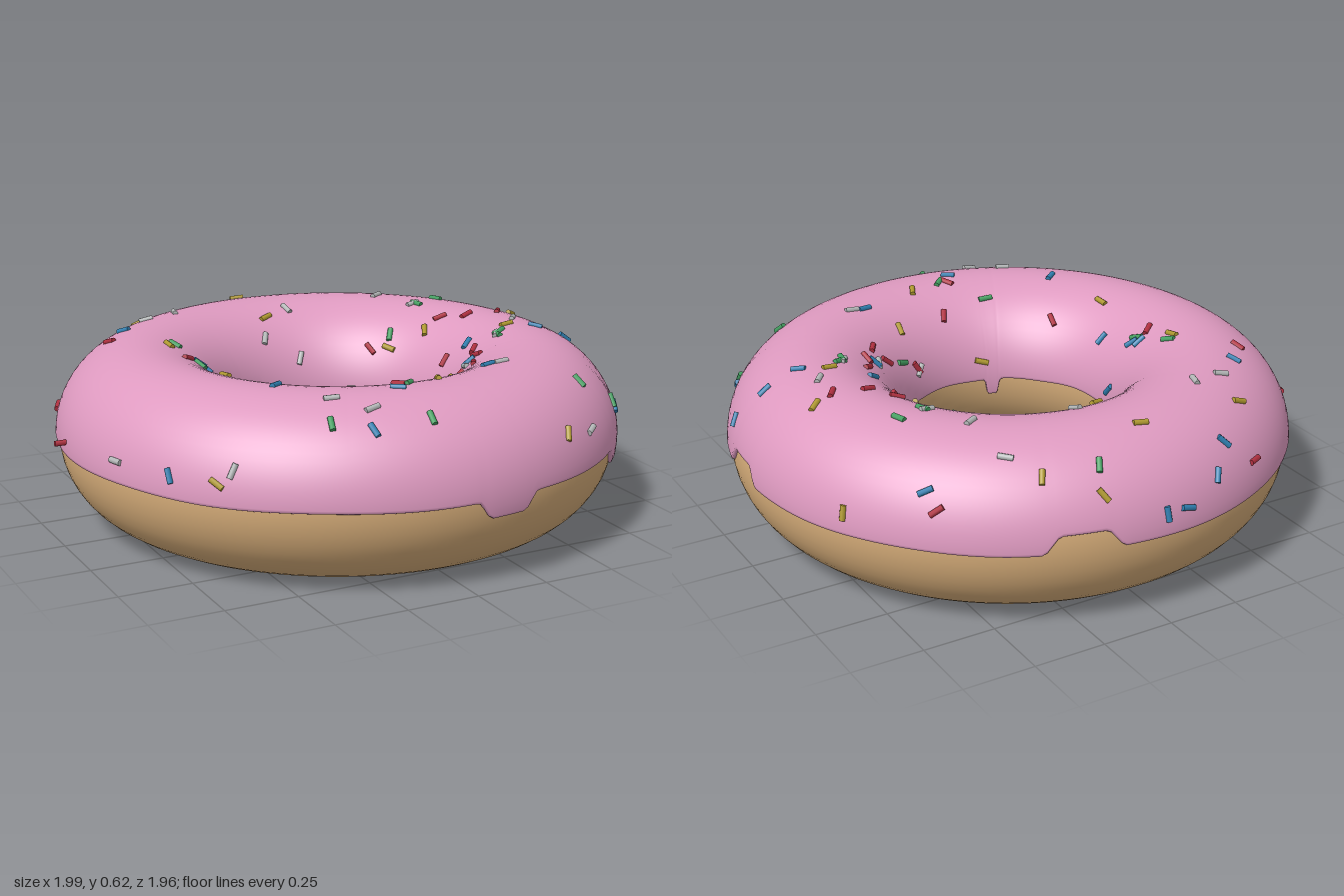
import * as THREE from 'three';

const RING = 0.67, DOUGH_R = 0.295, ICING_R = 0.308, MID_Y = 0.295, OFFSET = 0.01;
const DEG = Math.PI / 180;

// Icing edge features: [azimuth from +z toward +x, half width, height], in degrees and units
const OUTER_EDGE = [[6.5, 6, -0.06], [50, 6.5, -0.06], [85, 6.5, 0.06], [164, 7, 0.06]];
const INNER_EDGE = [[206, 10, 0.07], [65, 4, -0.06], [339, 4, -0.06]];

// Sprinkle positions seen from above, as x, z pairs in hundredths
const SPRINKLES = {
  red: [-41, -85, -88, -39, -68, -38, 66, -68, -51, -8, 60, -10, 53, -17, 72, -8, 30, -28, 43, 4, 34, 29,
    19, 35, 47, 17, 44, 24, 1, 48, -8, 62, -34, 29, 38, 32],
  yellow: [20, -90, 36, -80, -3, -75, -45, -70, -2, -51, 87, -45, 35, -23, 46, -16, 79, -10, 64, 11, -50, 21,
    -8, 35, 21, 44, 7, 61, -73, 65, 40, 87, -53, -20, 39, 4],
  green: [18, -84, -50, -22, 62, -36, 37, -26, 58, 16, 26, 33, -17, 49, -5, 63, -39, 76, -9, 85, 58, 66,
    -47, -7, 52, -33, 56, 18, 78, 57],
  blue: [-22, -91, -29, -84, -8, -97, 0, -96, 67, -63, -59, -48, -35, -8, -45, -7, -42, 8, 73, 16, 85, 17,
    93, 25, 79, 57, 30, 54, -44, 47, -11, 67, -83, 51, -28, 83, -46, -10, 41, 24, 49, 9],
  white: [43, -70, 44, -50, -47, -57, -35, -59, 8, -54, 51, -34, -6, -43, 6, -38, 71, 4, 56, 17, 39, 25,
    35, 54, -34, 66, -68, 67, -25, 76, 53, 81, -94, 30, 18, 35],
};

function material(name, color) {
  const m = new THREE.MeshStandardMaterial({ color });
  m.name = name;
  return m;
}

// Height of the icing edge above the middle of the ring
function edgeHeight(features, degrees) {
  let h = 0.002 * Math.sin(degrees * DEG * 9);
  for (const [at, half, height] of features) {
    const away = Math.abs(((degrees - at + 540) % 360) - 180);
    h += height * (1 - THREE.MathUtils.smoothstep(away, half * 0.6, half * 1.15));
  }
  return h;
}

// Point on a tube around the ring, at azimuth a and tube angle phi (0 outside, PI inside)
function tubePoint(a, phi, r) {
  const rho = RING + r * Math.cos(phi);
  return new THREE.Vector3(rho * Math.sin(a), MID_Y + r * Math.sin(phi), rho * Math.cos(a));
}

// Open shell over the top of the dough with a rounded lip at both edges
function icingGeometry() {
  const around = 360, across = 32;
  const positions = [], index = [];
  const lip = [[0.286, 0.012], [0.3, 0.002], [0.306, 0.01]];
  const rows = across + 1 + lip.length * 2;
  for (let i = 0; i < around; i++) {
    const a = i * 360 / around;
    const outer = Math.asin(edgeHeight(OUTER_EDGE, a) / ICING_R);
    const inner = Math.PI - Math.asin(edgeHeight(INNER_EDGE, a) / ICING_R);
    const section = lip.map(([r, d]) => [outer + d, r]);
    for (let j = 0; j <= across; j++) {
      section.push([THREE.MathUtils.lerp(outer + 0.04, inner - 0.04, j / across), ICING_R]);
    }
    section.push(...lip.map(([r, d]) => [inner - d, r]).reverse());
    for (const [phi, r] of section) positions.push(...tubePoint(a * DEG, phi, r).toArray());
  }
  for (let i = 0; i < around; i++) {
    for (let j = 0; j < rows - 1; j++) {
      const p = i * rows + j, q = ((i + 1) % around) * rows + j;
      index.push(p, q, q + 1, p, q + 1, p + 1);
    }
  }
  const g = new THREE.BufferGeometry();
  g.setAttribute('position', new THREE.Float32BufferAttribute(positions, 3));
  g.setIndex(index);
  g.computeVertexNormals();
  return g;
}

export function createModel() {
  const model = new THREE.Group();
  model.name = 'donut';
  const body = new THREE.Group();
  body.name = 'ring';
  body.position.set(OFFSET, 0, OFFSET);
  model.add(body);

  // Dough
  const dough = new THREE.Mesh(
    new THREE.TorusGeometry(RING, DOUGH_R, 48, 128).rotateX(Math.PI / 2).translate(0, MID_Y, 0),
    material('dough', 0xd4ab78));
  dough.name = 'dough';
  body.add(dough);

  // Icing
  const icing = new THREE.Mesh(icingGeometry(), material('pink icing', 0xde9ac0));
  icing.material.side = THREE.DoubleSide;
  icing.name = 'icing';
  body.add(icing);

  // Sprinkles lying on the icing, each turned by a seeded angle
  let seed = 7;
  const random = () => (seed = (seed * 16807) % 2147483647) / 2147483647;
  const stick = new THREE.CylinderGeometry(0.01, 0.01, 0.05, 8);
  const colors = { red: 0xb03040, yellow: 0xb09a30, green: 0x45a062, blue: 0x2f7fb0, white: 0xb4b8b8 };
  const up = new THREE.Vector3(0, 1, 0);
  for (const [color, spots] of Object.entries(SPRINKLES)) {
    const group = new THREE.Group();
    group.name = color + 'Sprinkles';
    const mat = material(color + ' sprinkle', colors[color]);
    for (let i = 0; i < spots.length; i += 2) {
      const x = spots[i] / 100 - OFFSET, z = spots[i + 1] / 100 - OFFSET;
      const a = Math.atan2(x, z);
      const c = THREE.MathUtils.clamp((Math.hypot(x, z) - RING) / ICING_R, -0.97, 0.97);
      const phi = Math.acos(c);
      const sprinkle = new THREE.Mesh(stick, mat);
      sprinkle.name = 'sprinkle';
      sprinkle.position.copy(tubePoint(a, phi, ICING_R + 0.002));
      const along = new THREE.Vector3(Math.cos(a), 0, -Math.sin(a));
      const normal = tubePoint(a, phi, 1).sub(tubePoint(a, phi, 0));
      along.applyAxisAngle(normal, random() * Math.PI);
      sprinkle.quaternion.setFromUnitVectors(up, along);
      group.add(sprinkle);
    }
    // One sprinkle sticks straight out of the right side
    if (color === 'red') {
      const poking = new THREE.Mesh(stick, mat);
      poking.name = 'pokingSprinkle';
      poking.position.set(-0.985, 0.34, -0.07);
      poking.rotation.z = Math.PI / 2;
      group.add(poking);
    }
    body.add(group);
  }
  return model;
}
